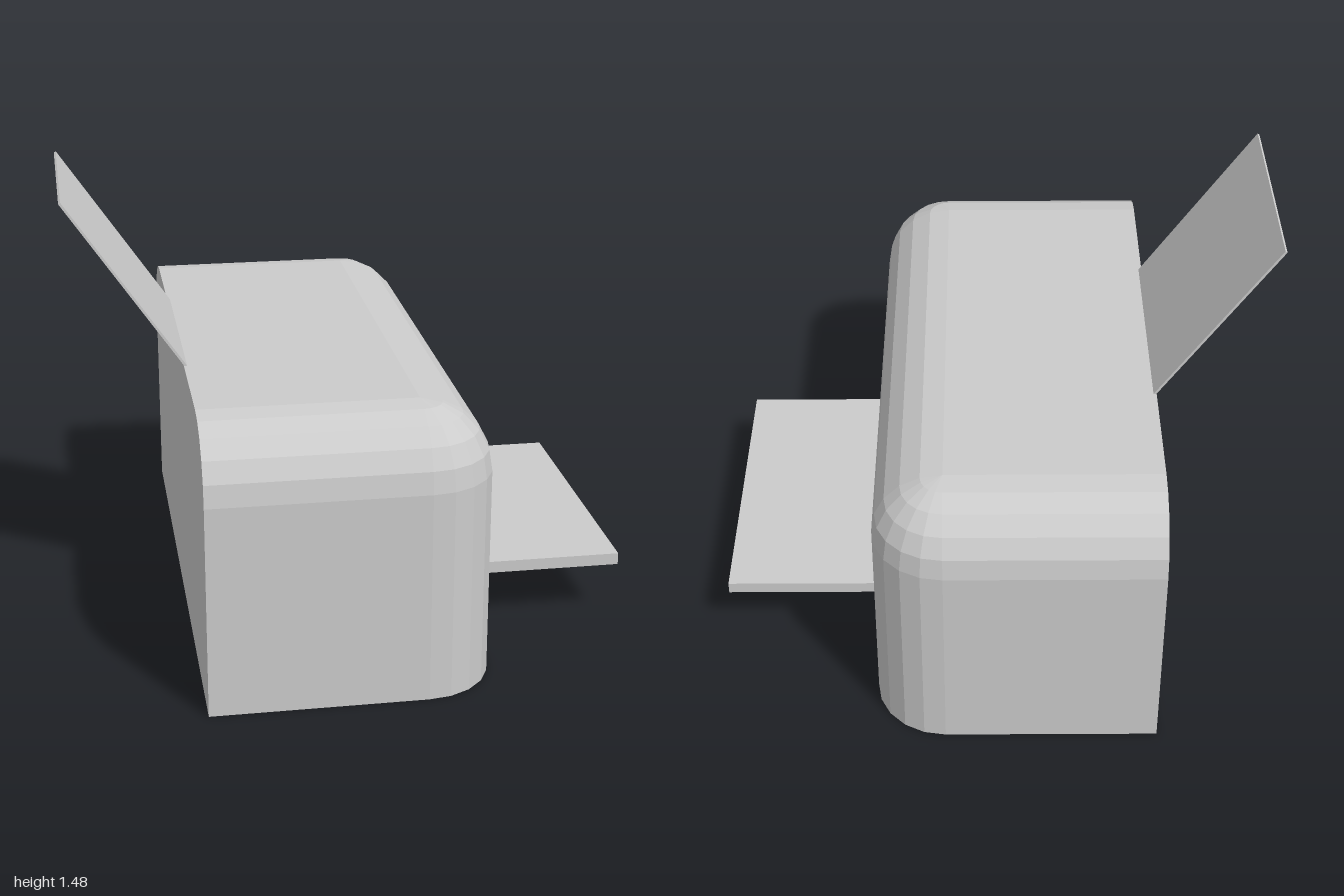
import * as THREE from 'three';

const material = new THREE.MeshStandardMaterial({ color: 0xcccccc, flatShading: true });

// Housing: stacked plan outlines, rounded on top, front and sides, flat at the back and bottom
function housingGeometry({ back, front, halfWidth, height, radius, segments }) {
  const cx = front - radius, cz = halfWidth - radius, cy = height - radius;
  const quarter = Math.PI / 2;

  // Plan outline at height y with corner radius r, counterclockwise from above
  const outline = (y, r) => {
    const points = [[back, y, cz + r]];
    for (const side of [1, -1]) {
      for (let i = 0; i <= segments; i++) {
        const t = quarter * (side > 0 ? 1 - i / segments : i / segments);
        points.push([cx + r * Math.cos(t), y, side * (cz + r * Math.sin(t))]);
      }
    }
    points.push([back, y, -cz - r]);
    return points;
  };

  const rings = [outline(0, radius)];
  for (let i = 0; i <= segments; i++) {
    const a = quarter * i / segments;
    rings.push(outline(cy + radius * Math.sin(a), radius * Math.cos(a)));
  }

  const n = rings[0].length, last = (rings.length - 1) * n;
  const index = [];
  for (let j = 0; j < rings.length - 1; j++) {
    for (let i = 0; i < n; i++) {
      const a = j * n + i, b = j * n + (i + 1) % n;
      index.push(a, b, b + n, a, b + n, a + n);
    }
  }
  // Bottom cap as a fan, top cap as a rectangle
  for (let i = 1; i < n - 1; i++) index.push(0, i + 1, i);
  index.push(last, last + 1, last + n - 2, last, last + n - 2, last + n - 1);

  const geometry = new THREE.BufferGeometry();
  geometry.setAttribute('position', new THREE.Float32BufferAttribute(rings.flat(2), 3));
  geometry.setIndex(index);
  const flat = geometry.toNonIndexed();
  flat.computeVertexNormals();
  return flat;
}

export function createModel() {
  const model = new THREE.Group();
  model.name = 'printer';
  const add = (name, geometry, x = 0, y = 0, z = 0) => {
    const mesh = new THREE.Mesh(geometry, material);
    mesh.name = name;
    mesh.position.set(x, y, z);
    model.add(mesh);
    return mesh;
  };

  add('housing', housingGeometry({
    back: -0.535, front: 0.39, halfWidth: 1, height: 0.925, radius: 0.23, segments: 5,
  }));

  // Output tray sticking out low on the front of the housing
  add('outputTray', new THREE.BoxGeometry(0.53, 0.04, 1.03), 0.645, 0.205);

  // Thin paper support leaning back from the top rear edge
  const support = add('paperSupport', new THREE.BoxGeometry(0.008, 0.673, 0.73), -0.718, 1.202);
  support.rotation.z = Math.atan2(0.38, 0.555);

  return model;
}
